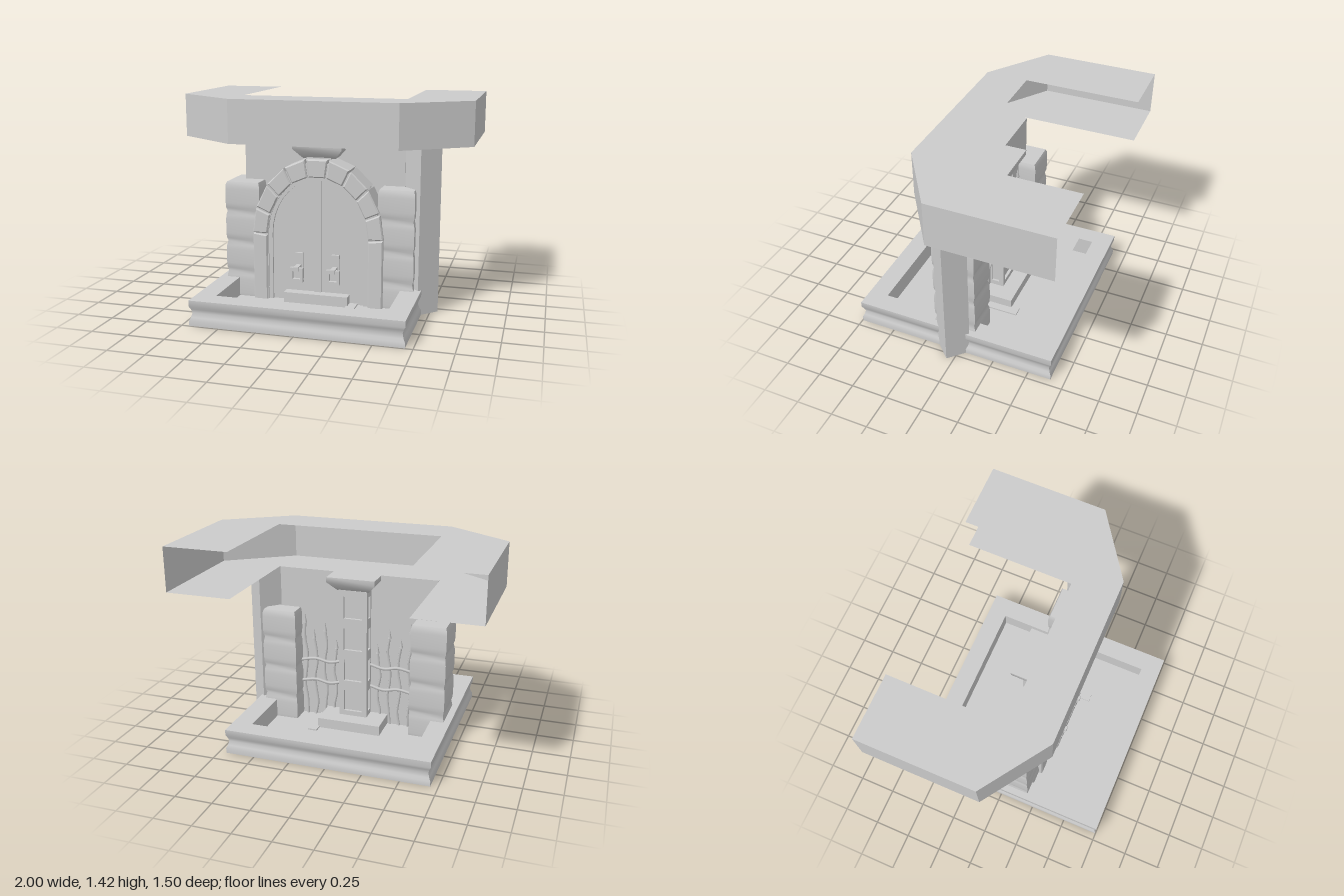
import * as THREE from 'three';
import { toCreasedNormals } from 'three/addons/utils/BufferGeometryUtils.js';

const mat = new THREE.MeshStandardMaterial({ color: 0xcccccc, side: THREE.DoubleSide });

export function createModel() {
  const root = new THREE.Group();

  const add = (name, geo, x = 0, y = 0, z = 0, parent = root) => {
    const m = new THREE.Mesh(geo, mat);
    m.name = name;
    m.position.set(x, y, z);
    parent.add(m);
    return m;
  };
  // Box given by its minimum and maximum corners
  const box = (name, x0, x1, y0, y1, z0, z1, parent = root) =>
    add(name, new THREE.BoxGeometry(x1 - x0, y1 - y0, z1 - z0),
      (x0 + x1) / 2, (y0 + y1) / 2, (z0 + z1) / 2, parent);
  // Profile [half width, y] swept round a square, then stretched in z
  const squareLoft = (profile, zScale = 1) => {
    const pts = profile.map(([r, y]) => new THREE.Vector2(r * Math.SQRT2, y));
    const g = new THREE.LatheGeometry(pts, 4).rotateY(Math.PI / 4).scale(1, 1, zScale);
    return toCreasedNormals(g, 0.75);
  };
  const shapeOf = pts => new THREE.Shape(pts.map(([x, y]) => new THREE.Vector2(x, y)));
  const extrude = (shape, depth, bevel = 0) => new THREE.ExtrudeGeometry(shape, {
    depth, steps: 1, bevelEnabled: bevel > 0, bevelSize: bevel, bevelThickness: bevel, bevelOffset: -bevel, bevelSegments: 1,
  });

  // Base: coved square frame around a sunken floor
  add('baseFrame', squareLoft([
    [0.565, 0], [0.7, 0], [0.7, 0.035], [0.69, 0.055], [0.682, 0.085], [0.69, 0.11],
    [0.7, 0.13], [0.7, 0.17], [0.565, 0.17], [0.565, 0],
  ]), 0, 0, 0.045);
  box('floor', -0.565, 0.565, 0.03, 0.04, -0.525, 0.615);
  box('step', -0.225, 0.22, 0.01, 0.11, -0.18, 0.25);
  box('floorPlate', 0.21, 0.275, 0.03, 0.05, -0.24, 0.33);

  // Back wall and the diagonal post at its end
  box('wall', -0.56, 0.56, 0, 1.125, 0.03, 0.045);
  const post = new THREE.CylinderGeometry(0.118, 0.118, 1.125, 4, 1, true).toNonIndexed();
  post.computeVertexNormals();
  add('cornerPost', post, 0.68, 0.5625, 0.048);

  // Canopy: top and bottom sheets with outer walls, open on the inside
  const outer = [[-1, -0.75], [-1, 0.04], [-0.57, 0.335], [0.565, 0.335], [1, 0.04], [1, -0.75]];
  const plan = [...outer, [0.565, -0.75], [0.565, 0.04], [-0.565, 0.04], [-0.565, -0.75]];
  const [low, high] = [1.125, 1.42];
  const canopy = new THREE.Group();
  canopy.name = 'canopy';
  root.add(canopy);
  add('canopyTop', new THREE.ShapeGeometry(shapeOf(plan.map(([x, z]) => [x, -z]))).rotateX(-Math.PI / 2), 0, high, 0, canopy);
  add('canopyUnderside', new THREE.ShapeGeometry(shapeOf(plan)).rotateX(Math.PI / 2), 0, low, 0, canopy);
  const walls = [];
  for (let i = 0; i < outer.length - 1; i++) {
    const [[ax, az], [bx, bz]] = [outer[i], outer[i + 1]];
    walls.push(ax, low, az, bx, low, bz, bx, high, bz, ax, low, az, bx, high, bz, ax, high, az);
  }
  const wallGeo = new THREE.BufferGeometry();
  wallGeo.setAttribute('position', new THREE.Float32BufferAttribute(walls, 3));
  wallGeo.computeVertexNormals();
  add('canopyWalls', wallGeo, 0, 0, 0, canopy);

  // Side pillars of four cushion-shaped blocks
  const pillar = [[0, 0], [0.12, 0]];
  for (let i = 0; i < 4; i++) {
    const y = i * 0.2125;
    pillar.push([0.113, y + 0.002], [0.12, y + 0.025], [0.122, y + 0.06], [0.122, y + 0.155], [0.12, y + 0.185]);
  }
  pillar.push([0.113, 0.843], [0, 0.843]);
  for (const x of [-0.534, 0.53]) add('sidePillar', squareLoft(pillar, 1.21), x, 0, 0.047);

  // Arch: straight legs, then nine wedge stones on an ellipse
  const spring = 0.5;
  const on = (rx, ry, a) => [rx * Math.cos(a), spring + ry * Math.sin(a)];
  const archOutline = (rx, ry, bottom = 0.03) => {
    const pts = [[-rx, bottom], [rx, bottom]];
    for (let i = 0; i <= 18; i++) pts.push(on(rx, ry, i * Math.PI / 18));
    return pts;
  };
  const band = (o, i) => {
    const s = shapeOf(archOutline(...o));
    s.holes.push(new THREE.Path(archOutline(...i, 0.031).map(p => new THREE.Vector2(...p))));
    return s;
  };
  add('archCore', extrude(band([0.435, 0.505], [0.345, 0.405]), 0.165), 0, 0, 0.04);
  const gap = 0.012;
  for (let i = 0; i < 9; i++) {
    const a = i * Math.PI / 9 + gap, b = (i + 1) * Math.PI / 9 - gap;
    const stone = shapeOf([on(0.35, 0.41, a), on(0.453, 0.532, a), on(0.453, 0.532, b), on(0.35, 0.41, b)]);
    add(i === 4 ? 'keystone' : 'archStone', extrude(stone, 0.164, 0.008), 0, 0, 0.048);
  }
  for (const s of [-1, 1]) {
    const leg = shapeOf([[s * 0.35, 0.03], [s * 0.45, 0.03], [s * 0.45, 0.505], [s * 0.35, 0.492]]);
    add('archLeg', extrude(leg, 0.164, 0.008), 0, 0, 0.048);
  }

  // Double door with a trim band and a centre strip
  add('door', extrude(shapeOf(archOutline(0.35, 0.41)), 0.135), 0, 0, 0.045);
  add('doorTrim', extrude(band([0.35, 0.41], [0.318, 0.385]), 0.15), 0, 0, 0.045);
  box('doorCentreStrip', -0.026, 0.022, 0.04, 0.888, 0.15, 0.19);

  // Knockers: plate, peg and hanging square ring
  for (const x of [-0.13, 0.123]) {
    const knocker = new THREE.Group();
    knocker.name = 'doorKnocker';
    knocker.position.x = x;
    root.add(knocker);
    box('plate', -0.027, 0.027, 0.2, 0.38, 0.17, 0.2, knocker);
    box('peg', -0.017, 0.017, 0.27, 0.3, 0.19, 0.28, knocker);
    const ring = shapeOf([[-0.045, 0.195], [0.045, 0.195], [0.045, 0.292], [-0.045, 0.292]]);
    ring.holes.push(new THREE.Path([[-0.026, 0.215], [-0.026, 0.268], [0.026, 0.268], [0.026, 0.215]].map(p => new THREE.Vector2(...p))));
    add('ring', extrude(ring, 0.025), 0, 0, 0.24, knocker);
  }

  // Rear column with four framed panels on its back and sides
  const column = new THREE.Group();
  column.name = 'column';
  root.add(column);
  box('columnCore', -0.085, 0.085, 0.1, 1.04, -0.05, 0.165, column);
  const frame = (w, d) => {
    const h = 0.93, s = shapeOf([[-w, 0], [w, 0], [w, h], [-w, h]]);
    for (let i = 0; i < 4; i++) {
      const y = 0.045 + i * 0.228, q = w - 0.035;
      s.holes.push(new THREE.Path([[-q, y], [-q, y + 0.155], [q, y + 0.155], [q, y]].map(p => new THREE.Vector2(...p))));
    }
    return extrude(s, d);
  };
  add('columnBackFrame', frame(0.1, 0.02), 0, 0.1, -0.07, column);
  for (const s of [-1, 1]) {
    add('columnSideFrame', frame(0.06, 0.015).rotateY(s * Math.PI / 2), s * 0.085, 0.1, -0.01, column);
  }
  add('capital', squareLoft([[0, 1.025], [0.11, 1.025], [0.12, 1.035], [0.168, 1.09], [0.168, 1.125], [0, 1.125]]), 0, 0, 0.047);

  // Wavy wrought bars with crosspieces on the back of the wall
  const tube = (name, pts, r) => add(name, new THREE.TubeGeometry(
    new THREE.CatmullRomCurve3(pts.map(p => new THREE.Vector3(...p))), 16, r, 5));
  const tops = [0.6, 0.72, 0.66, 0.77];
  for (const s of [-1, 1]) {
    tops.forEach((top, i) => {
      const x = 0.16 + i * 0.073, pts = [];
      for (let k = 0; k <= 6; k++) {
        pts.push([s * (x + 0.011 * Math.sin(k * 1.9 + i * 1.3)), 0.04 + (top - 0.07) * k / 6, 0.024]);
      }
      tube('wroughtBar', pts, 0.009);
      const [px, py] = pts[6];
      add('barTip', new THREE.ConeGeometry(0.014, 0.07, 5), px, py + 0.03, 0.024);
    });
    for (const y of [0.3, 0.46]) {
      tube('crossBar', [[s * 0.1, y + 0.02, 0.018], [s * 0.2, y, 0.012], [s * 0.3, y + 0.015, 0.016], [s * 0.41, y - 0.005, 0.018]], 0.012);
    }
  }
  return root;
}
